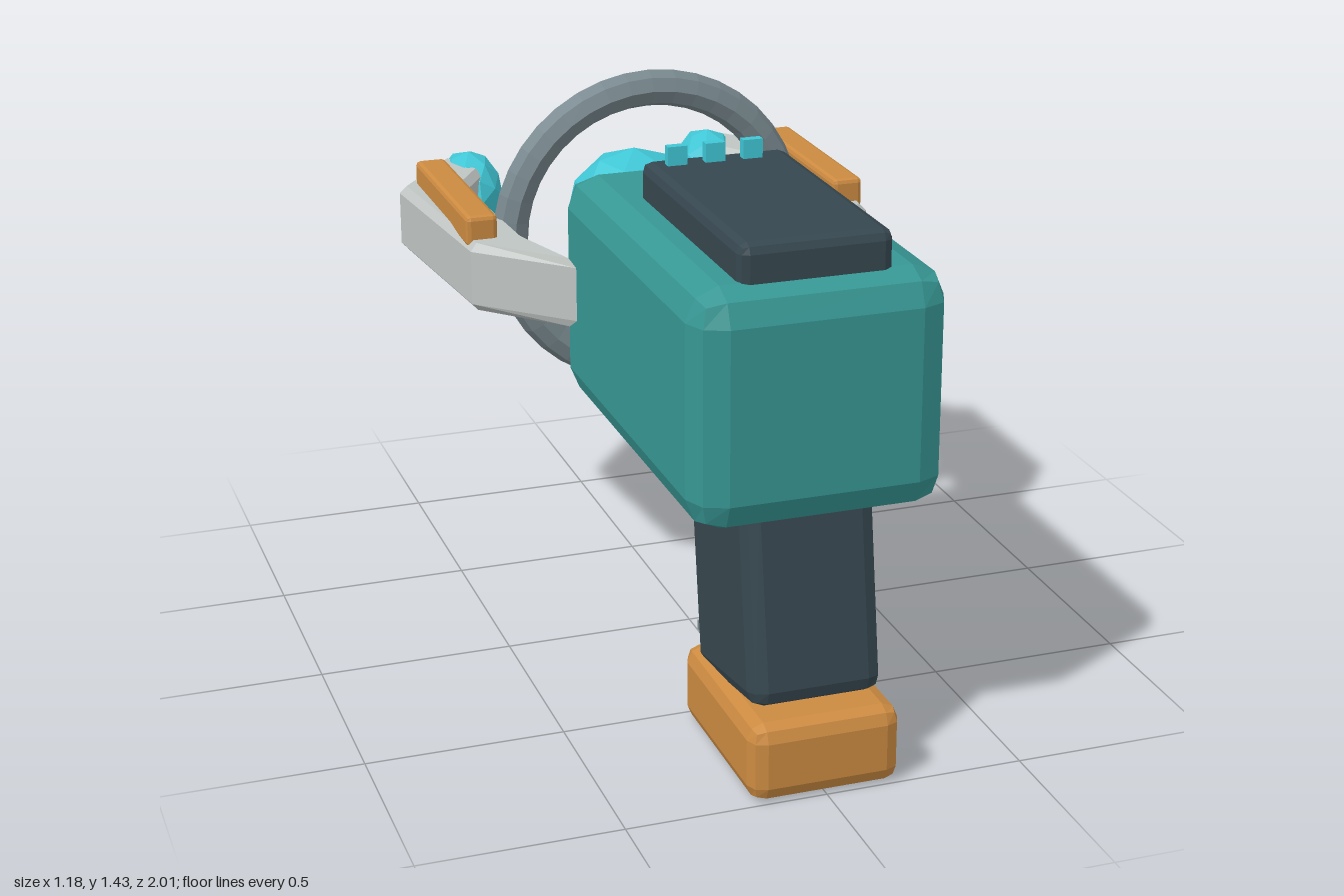
import * as THREE from 'three';
import { RoundedBoxGeometry } from 'three/addons/geometries/RoundedBoxGeometry.js';

const paint = (name, color) => {
  const m = new THREE.MeshStandardMaterial({ color });
  m.name = name;
  return m;
};

// Give every triangle its own flat normal
function faceted(geometry) {
  const g = geometry.index ? geometry.toNonIndexed() : geometry;
  g.computeVertexNormals();
  return g;
}

// Box with one-step bevels, sized by its outer faces
function bevelBox(w, h, d, r) {
  const grow = 2 * 0.0955 * r; // the coarse bevel falls slightly short of its radius
  return faceted(new RoundedBoxGeometry(w + grow, h + grow, d + grow, 1, r));
}

export function createModel() {
  const model = new THREE.Group();
  model.name = 'gadgetBlaster';

  const teal = paint('teal', 0x379794);
  const slate = paint('slate', 0x36474f);
  const orange = paint('orange', 0xcc8b41);
  const steel = paint('steel', 0x78888e);
  const paleGrey = paint('paleGrey', 0xbfc5c2);
  const cyan = paint('cyan', 0x40c6d5);

  const add = (name, geometry, material, x, y, z) => {
    const mesh = new THREE.Mesh(geometry, material);
    mesh.name = name;
    mesh.position.set(x, y, z);
    model.add(mesh);
    return mesh;
  };

  // Body and top plate
  add('body', bevelBox(0.61, 0.57, 1.05, 0.08), teal, 0, 0.96, 0.425);
  add('topPlate', bevelBox(0.37, 0.12, 0.71, 0.025), slate, 0, 1.28, 0.53);

  // Indicator lights on the plate
  for (let i = 0; i < 3; i++) {
    add('indicatorLight', new THREE.BoxGeometry(0.05, 0.07, 0.024), cyan, -0.115 + i * 0.097, 1.355, 0.237);
  }

  // Slanted grip, its foot and the finger ribs
  const grip = add('grip', bevelBox(0.325, 0.54, 0.405, 0.04), slate, 0, 0.45, 0.698);
  grip.rotation.x = -0.155;
  add('gripFoot', bevelBox(0.372, 0.19, 0.5, 0.04), orange, 0, 0.095, 0.75);
  for (const y of [0.22, 0.36, 0.5]) {
    add('gripRib', new THREE.BoxGeometry(0.28, 0.025, 0.026), steel, 0, y, 0.483);
  }

  // Ring and core orb
  add('ring', faceted(new THREE.TorusGeometry(0.382, 0.048, 8, 40)), steel, 0, 1, -0.33);
  add('coreOrb', faceted(new THREE.IcosahedronGeometry(0.185, 1)), cyan, 0, 1, -0.455);

  // Arms: plan outline as (x, z), extruded upwards with a bevel
  const outline = [
    [0.325, 0.08], [0.54, -0.13], [0.592, -0.685], [0.4, -0.93],
    [0.335, -0.78], [0.41, -0.66], [0.385, -0.16],
  ];
  for (const side of [-1, 1]) {
    const shape = new THREE.Shape(outline.map(([x, z]) => new THREE.Vector2(side * x, -z)));
    const arm = new THREE.ExtrudeGeometry(shape, {
      depth: 0.14, bevelEnabled: true, bevelThickness: 0.02, bevelSize: 0.018,
      bevelOffset: -0.018, bevelSegments: 1,
    });
    arm.rotateX(-Math.PI / 2);
    const label = side > 0 ? 'left' : 'right';
    add(label + 'Arm', faceted(arm), paleGrey, 0, 0.91, 0);
    add(label + 'ArmStrip', bevelBox(0.08, 0.08, 0.545, 0.012), orange, side * 0.5, 1.09, -0.435);

    // Stretched orb at the arm tip
    const tip = new THREE.IcosahedronGeometry(1, 1);
    tip.scale(0.09, 0.115, 0.137);
    add(label + 'TipOrb', faceted(tip), cyan, side * 0.352, 0.98, -0.865);
  }

  return model;
}
